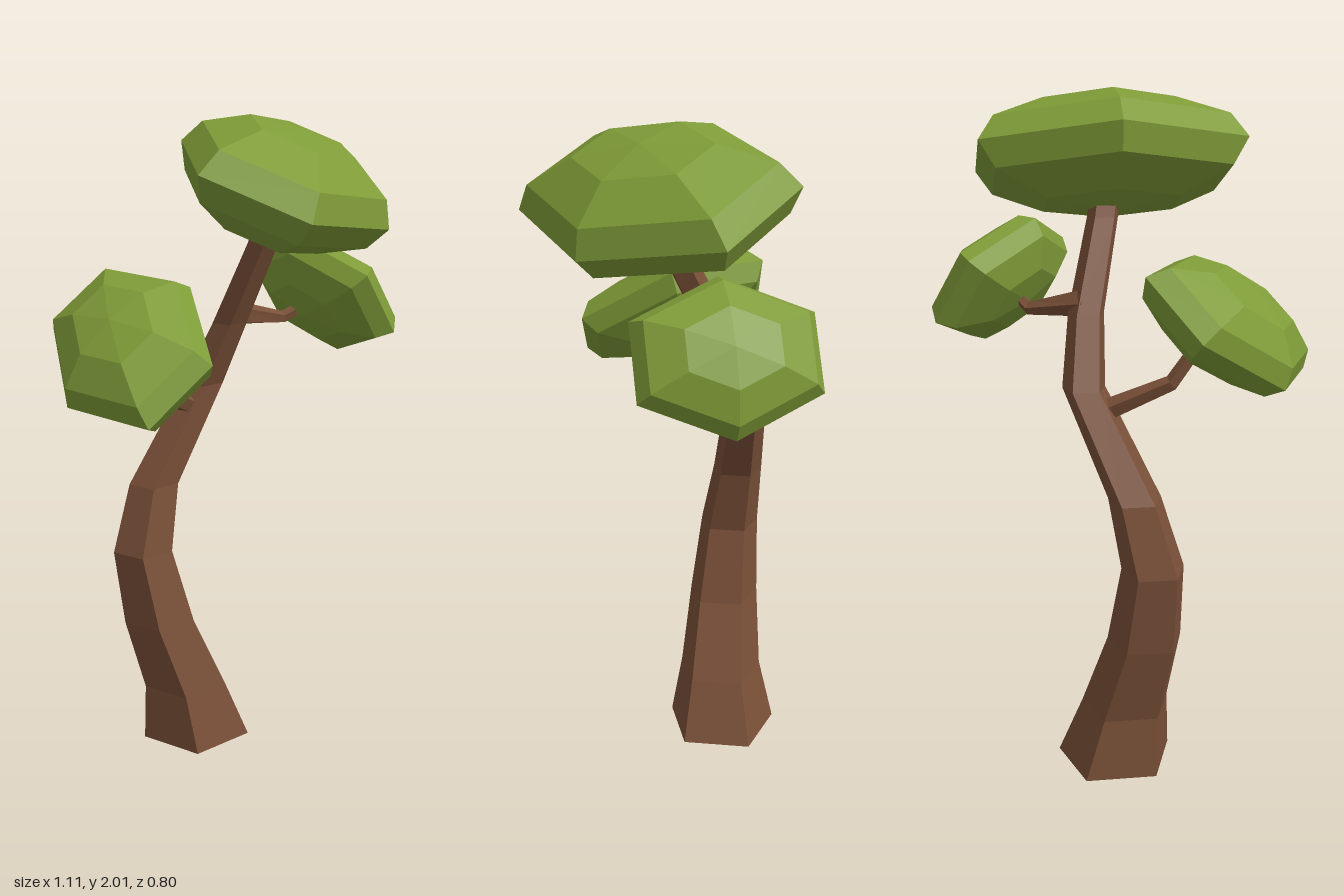
import * as THREE from 'three';

const V = (x, y, z) => new THREE.Vector3(x, y, z);
const leafMaterial = new THREE.MeshStandardMaterial({ color: 0x7f9c38, flatShading: true });
const barkMaterial = new THREE.MeshStandardMaterial({ color: 0x7a5038, flatShading: true });

// Skin a stack of equal rings (counterclockwise about the stack axis), closed to a point at each end
function loft(rings, bottom, top) {
  const n = rings[0].length;
  const pos = [];
  const tri = (...pts) => pts.forEach((p) => pos.push(p.x, p.y, p.z));
  for (let i = 0; i < n; i++) {
    const j = (i + 1) % n;
    tri(bottom, rings[0][j], rings[0][i]);
    for (let k = 0; k < rings.length - 1; k++) {
      const a = rings[k], b = rings[k + 1];
      tri(a[i], a[j], b[j]);
      tri(a[i], b[j], b[i]);
    }
    const last = rings[rings.length - 1];
    tri(top, last[i], last[j]);
  }
  const geometry = new THREE.BufferGeometry();
  geometry.setAttribute('position', new THREE.Float32BufferAttribute(pos, 3));
  geometry.computeVertexNormals();
  return geometry;
}

// Five-sided tapering wood; stations are [x, y, z, radius], rings level or square to the path
function wood(name, stations, level) {
  const centres = stations.map(([x, y, z]) => V(x, y, z));
  const last = centres.length - 1;
  const rings = stations.map(([, , , r], k) => {
    const q = new THREE.Quaternion();
    if (!level) {
      const dir = centres[Math.min(k + 1, last)].clone().sub(centres[Math.max(k - 1, 0)]).normalize();
      q.setFromUnitVectors(V(0, 1, 0), dir);
    }
    return Array.from({ length: 5 }, (_, i) => {
      const a = (i / 5) * Math.PI * 2;
      return V(-Math.sin(a) * r, 0, -Math.cos(a) * r).applyQuaternion(q).add(centres[k]);
    });
  });
  const mesh = new THREE.Mesh(loft(rings, centres[0], centres[last]), barkMaterial);
  mesh.name = name;
  return mesh;
}

// Six-sided leaf pad; p and q are rim corners two steps apart, p x q points out of its upper face
function leafPad(name, centre, p, q, half) {
  const axis = p.clone().cross(q).normalize();
  const mid = p.clone().add(q);
  const rim = [p, mid, q, p.clone().negate(), mid.clone().negate(), q.clone().negate()];
  const at = (h) => centre.clone().addScaledVector(axis, h * half);
  const profile = [[0.5, -0.87], [0.88, -0.45], [1, 0], [0.88, 0.45], [0.5, 0.87]];
  const rings = profile.map(([s, h]) => rim.map((c) => at(h).addScaledVector(c, s)));
  const mesh = new THREE.Mesh(loft(rings, at(-1), at(1)), leafMaterial);
  mesh.name = name;
  return mesh;
}

export function createModel() {
  const tree = new THREE.Group();
  tree.name = 'tree';

  // Curving trunk
  tree.add(wood('trunk', [
    [-0.04, 0, -0.21, 0.18],
    [-0.08, 0.19, -0.213, 0.137],
    [-0.16, 0.43, -0.24, 0.115],
    [-0.2, 0.67, -0.265, 0.096],
    [-0.145, 0.88, -0.275, 0.08],
    [0.035, 1.18, -0.25, 0.065],
    [0.075, 1.38, -0.165, 0.055],
    [0.095, 1.64, -0.03, 0.048],
    [0.1, 1.72, 0, 0.046],
  ], true));

  // Side branches
  tree.add(wood('rightBranch', [
    [0.01, 1.1, -0.25, 0.035], [-0.21, 1.21, -0.18, 0.024], [-0.3, 1.36, -0.13, 0.02],
  ]));
  tree.add(wood('leftBranch', [
    [0.07, 1.41, -0.16, 0.042], [0.28, 1.37, -0.15, 0.02], [0.38, 1.42, -0.11, 0.016],
  ]));

  // Foliage
  tree.add(leafPad('topFoliage', V(0.115, 1.81, 0.04), V(0.215, 0.06, -0.355), V(-0.4, 0.06, 0.11), 0.168));
  tree.add(leafPad('rightFoliage', V(-0.345, 1.375, -0.1), V(0.19, 0.155, 0.04), V(-0.065, 0.01, -0.3), 0.125));
  tree.add(leafPad('leftFoliage', V(0.41, 1.44, -0.1), V(-0.062, 0.095, -0.255), V(-0.062, 0.095, 0.255), 0.112));

  return tree;
}
